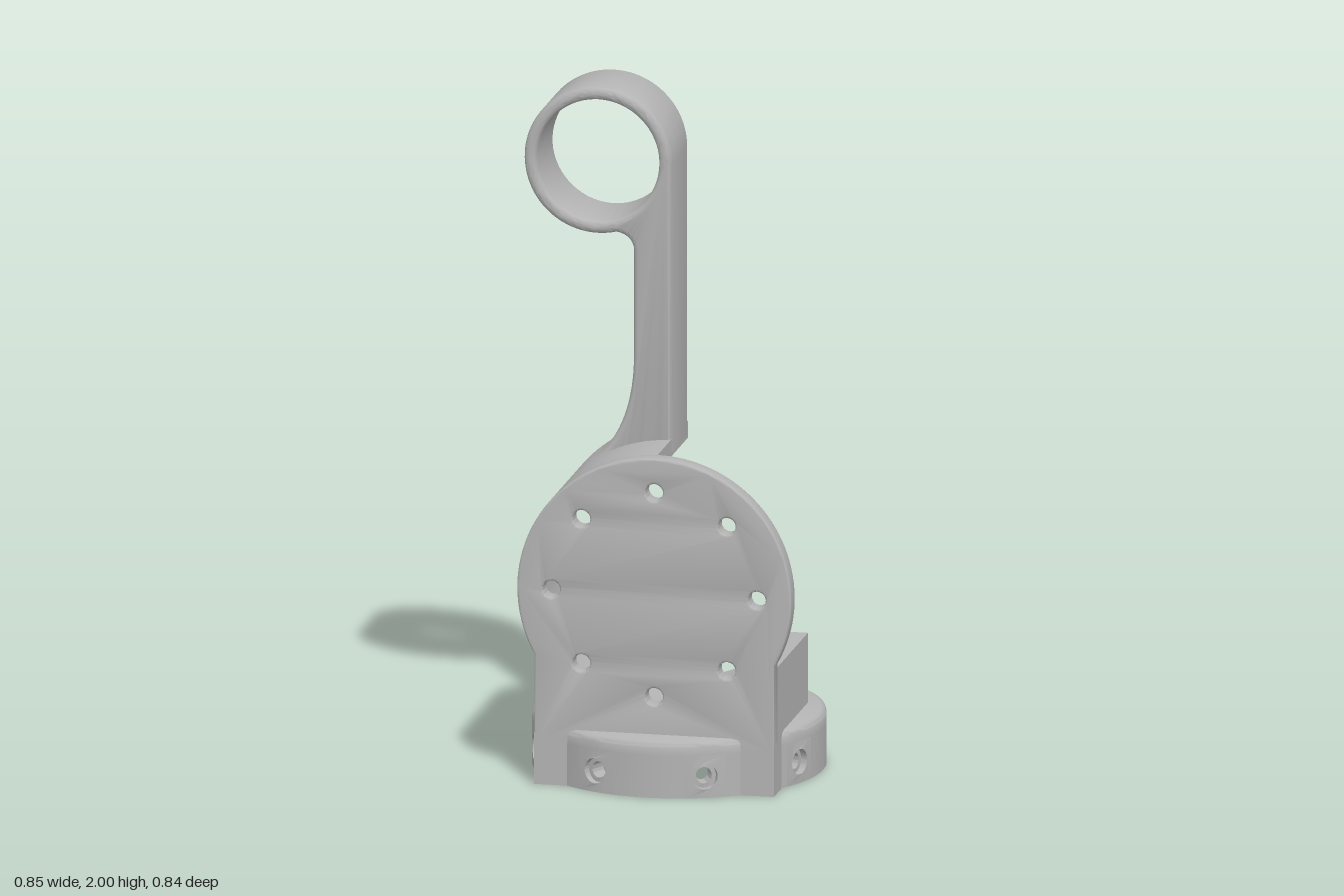
import * as THREE from 'three';
import { toCreasedNormals } from 'three/addons/utils/BufferGeometryUtils.js';

const PI = Math.PI;
const CY = 0.575;          // height of the disc centre
const OUT = 0.4, IN = 0.35; // outer and inner radius of the curved wall
const BASE_R = 0.42;

export function createModel() {
  const group = new THREE.Group();
  const grey = new THREE.MeshStandardMaterial({ color: 0xb4b4b4 });
  grey.name = 'plain grey';

  function add(name, geo, crease = 0.6) {
    const mesh = new THREE.Mesh(toCreasedNormals(geo, crease), grey);
    mesh.name = name;
    group.add(mesh);
    return mesh;
  }

  // Extrude a shape between two depths, with optional rounded edges
  function slab(shape, z0, z1, bevel = 0) {
    const geo = new THREE.ExtrudeGeometry(shape, {
      depth: z1 - z0 - 2 * bevel, curveSegments: 40, bevelEnabled: bevel > 0,
      bevelSize: bevel, bevelThickness: bevel, bevelOffset: -bevel, bevelSegments: 3,
    });
    return geo.translate(0, 0, z0 + bevel);
  }

  function hole(shape, x, y, r) {
    shape.holes.push(new THREE.Path().absarc(x, y, r, 0, 2 * PI, true));
  }

  // Wrap a flat piece around the base axis
  function bend(geo, turn) {
    const p = geo.attributes.position;
    for (let i = 0; i < p.count; i++) {
      const a = p.getX(i) / BASE_R, r = BASE_R + p.getZ(i);
      p.setXYZ(i, r * Math.sin(a), p.getY(i), r * Math.cos(a));
    }
    return geo.rotateY(turn);
  }

  // Base ring wall: eight counterbored holes with plain panels between
  const wallH = 0.125, half = 0.06;
  const panelW = (2 * PI * BASE_R) / 8 - 2 * half;
  for (let i = 0; i < 8; i++) {
    const turn = ((i + 0.5) * PI) / 4;
    for (const [z0, z1, r] of [[-0.07, -0.02, 0.024], [-0.02, 0, 0.037]]) {
      const cell = new THREE.Shape();
      cell.moveTo(-half, 0);
      for (const x of [-0.03, 0, 0.03, half]) cell.lineTo(x, 0);
      for (const x of [half, 0.03, 0, -0.03, -half]) cell.lineTo(x, wallH);
      hole(cell, 0, 0.062, r);
      add('baseScrewHole', bend(slab(cell, z0, z1), turn));
    }
    const panel = new THREE.BoxGeometry(panelW, wallH, 0.07, 8, 1, 1).translate(0, wallH / 2, -0.035);
    add('baseWallPanel', bend(panel, turn + PI / 8));
  }

  // Base lid with a rounded rim
  const lid = [[0, 0.125], [BASE_R, 0.125], [BASE_R, 0.15], [0.416, 0.16], [0.405, 0.165], [0, 0.165]];
  add('baseLid', new THREE.LatheGeometry(lid.map(([x, y]) => new THREE.Vector2(x, y)), 80), 0.9);

  // Front corners of the block, reaching the floor outside the ring
  for (const s of [-1, 1]) {
    const corner = new THREE.Shape([[0.35, 0.335], [0.19, 0.335], [0.35, 0.19]]
      .map(([x, z]) => new THREE.Vector2(s * x, z)));
    add('blockCorner', slab(corner, 0, 0.15).rotateX(PI / 2).translate(0, 0.15, 0));
  }

  // Front plate: disc on a square foot, with a circle of holes
  const sideA = Math.acos(0.35 / OUT);
  const plate = new THREE.Shape();
  plate.moveTo(-0.35, 0.12);
  plate.lineTo(0.35, 0.12);
  plate.absarc(0, CY, OUT, -sideA, PI + sideA, false);
  plate.closePath();
  for (let i = 0; i < 8; i++) {
    const a = (i * PI) / 4;
    hole(plate, 0.3 * Math.cos(a), CY + 0.3 * Math.sin(a), 0.025);
  }
  add('frontPlate', slab(plate, 0.28, 0.335, 0.006));

  // Cradle block; the curved wall rises on one side up to angle "end"
  const lipA = Math.asin(0.205 / IN);
  function cradle(inEnd, outEnd) {
    const s = new THREE.Shape();
    s.moveTo(-0.35, 0.14);
    s.lineTo(0.35, 0.14);
    s.lineTo(0.35, 0.37);
    s.absarc(0, CY, IN, -lipA, inEnd, true);
    s.absarc(0, CY, OUT, outEnd, -PI + sideA, false);
    s.closePath();
    return s;
  }
  add('cradleAndWall', slab(cradle(-1.5 * PI, -1.5 * PI), -0.115, 0.175));

  // Front slice of the wall, split by the window
  const winIn = Math.asin(0.145 / IN), winOut = Math.asin(0.145 / OUT);
  add('cradleFront', slab(cradle(-PI + winIn, -PI + winOut), 0.175, 0.29));
  const upper = new THREE.Shape();
  upper.absarc(0, CY, OUT, PI / 2, PI - winOut, false);
  upper.absarc(0, CY, IN, PI - winIn, PI / 2, true);
  upper.closePath();
  add('wallAboveWindow', slab(upper, 0.175, 0.29));

  // Arm with the eye ring at its top
  const arm = new THREE.Shape();
  arm.moveTo(0, 0.935);
  arm.lineTo(0, 1.785);
  arm.absarc(-0.214, 1.785, 0.215, 0, PI * 1.58, false);
  arm.quadraticCurveTo(-0.115, 1.57, -0.11, 1.53);
  arm.lineTo(-0.11, 1.22);
  arm.quadraticCurveTo(-0.11, 0.9925, -0.24, 0.895);
  arm.absarc(0, CY, 0.36, 2.21, PI / 2, true);
  hole(arm, -0.214, 1.785, 0.178);
  add('armAndEyeRing', slab(arm, -0.115, 0.115, 0.015));

  for (const m of group.children) m.position.x = 0.004;
  return group;
}
